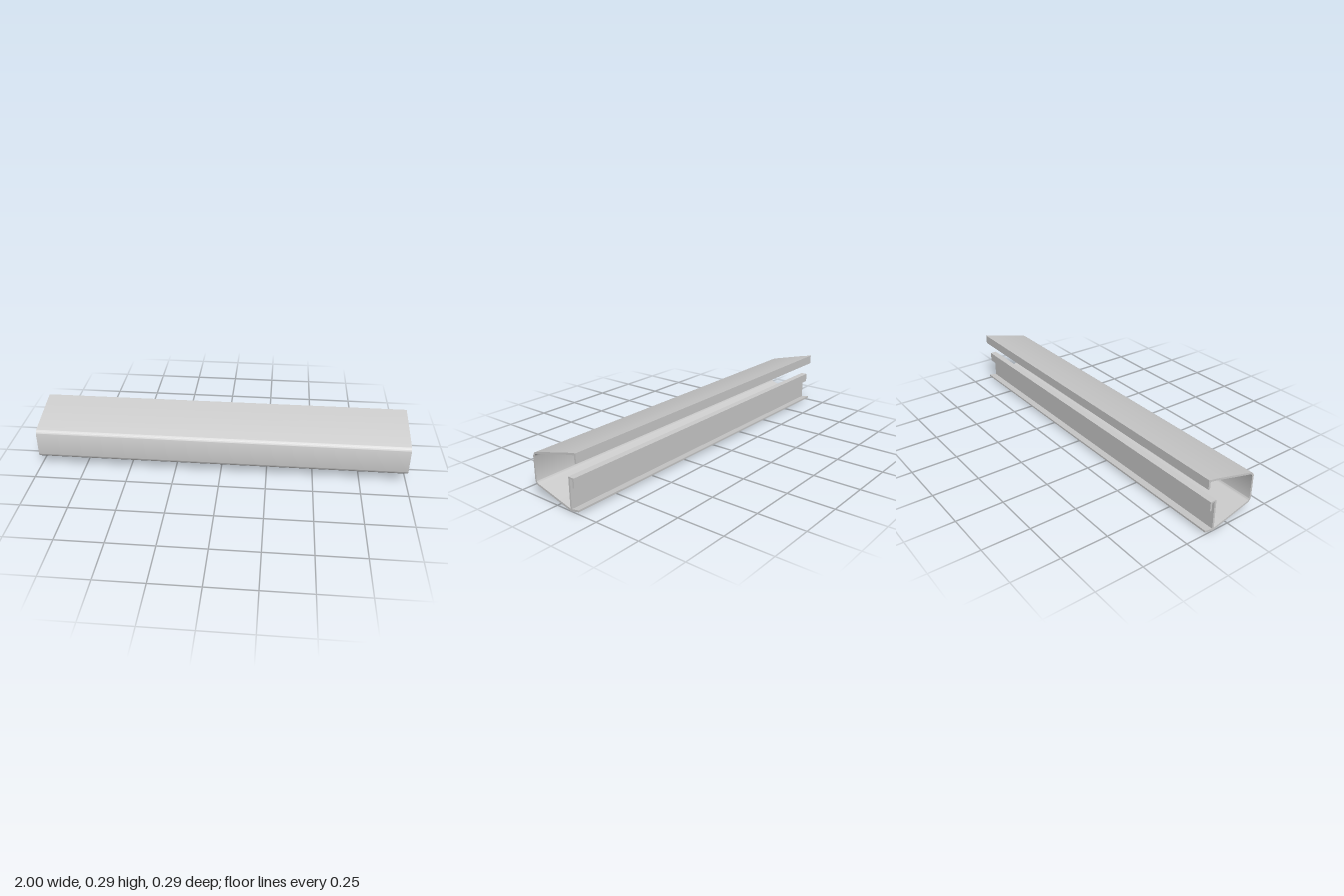
import * as THREE from 'three';
import { toCreasedNormals } from 'three/addons/utils/BufferGeometryUtils.js';

const LENGTH = 2;
const CENTRE = -0.116; // horizontal centre of both front bends
const TOP_BEND = 0.2, BOTTOM_BEND = 0.0875;
const OUTER = 0.03, INNER = 0.02;

// Section of the folded sheet; shape x runs towards the back.
function railSection() {
  const s = new THREE.Shape();
  const lines = (...points) => points.forEach(([x, y]) => s.lineTo(x, y));
  const bend = (y, radius, from, to) => s.absarc(
    CENTRE, y, radius, THREE.MathUtils.degToRad(from), THREE.MathUtils.degToRad(to), to < from);

  // Outer skin: top hook, sloping top, rounded front, sloping bottom
  s.moveTo(0.145, 0.245);
  lines([0.145, 0.295], [0.09, 0.2835]);
  bend(TOP_BEND, OUTER, 105, 180);
  bend(BOTTOM_BEND, OUTER, 180, 255);
  // Bottom lip
  lines([0.087, 0.001], [0.091, 0], [0.142, 0.0115], [0.142, 0.021], [0.097, 0.0125]);
  // Upright back wall with its hook
  lines([0.097, 0.16], [0.112, 0.16], [0.112, 0.12], [0.122, 0.12],
    [0.122, 0.169], [0.087, 0.169], [0.087, 0.0125]);
  // Inner skin back to the top hook
  bend(BOTTOM_BEND, INNER, 255, 180);
  bend(TOP_BEND, INNER, 180, 105);
  lines([0.092, 0.274], [0.135, 0.2825], [0.135, 0.245]);
  s.closePath();
  return s;
}

export function createModel() {
  const group = new THREE.Group();
  group.name = 'railProfile';

  let geometry = new THREE.ExtrudeGeometry(railSection(), {
    depth: LENGTH, bevelEnabled: false, curveSegments: 10,
  });
  geometry.rotateY(Math.PI / 2);
  geometry.translate(-LENGTH / 2, 0, 0);
  geometry = toCreasedNormals(geometry, 0.3);

  const rail = new THREE.Mesh(geometry, new THREE.MeshStandardMaterial({ color: 0xcccccc }));
  rail.name = 'foldedRail';
  group.add(rail);
  return group;
}
